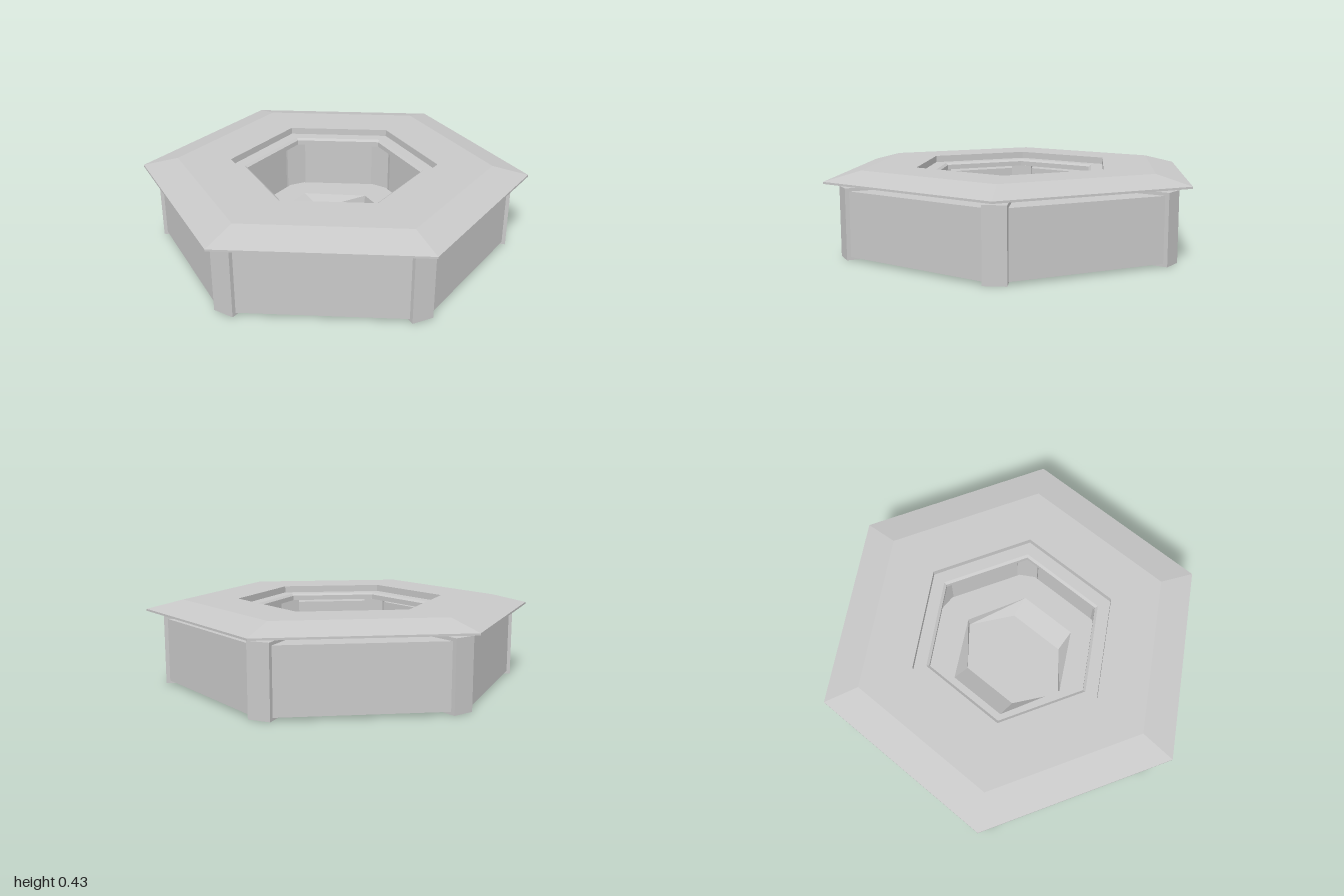
import * as THREE from 'three';

const grey = new THREE.MeshStandardMaterial({ color: 0xc8c8c8, flatShading: true });
grey.name = 'plain grey';

// Skins a stack of six-sided rings, each given as [x half width, z radius, y]
function loftHex(rings) {
  const pos = [];
  const point = ([hx, rz, y], i) => {
    const a = (i * Math.PI) / 3;
    return [(hx * Math.sin(a)) / Math.sin(Math.PI / 3), y, rz * Math.cos(a)];
  };
  for (let k = 0; k < rings.length - 1; k++) {
    for (let i = 0; i < 6; i++) {
      const a = point(rings[k], i), b = point(rings[k], i + 1);
      const c = point(rings[k + 1], i + 1), d = point(rings[k + 1], i);
      pos.push(...a, ...b, ...c, ...a, ...c, ...d);
    }
  }
  const g = new THREE.BufferGeometry();
  g.setAttribute('position', new THREE.Float32BufferAttribute(pos, 3));
  g.computeVertexNormals();
  return g;
}

export function createModel() {
  const model = new THREE.Group();
  const add = (geometry, name, angle = 0) => {
    const mesh = new THREE.Mesh(geometry, grey);
    mesh.name = name;
    mesh.rotation.y = angle;
    model.add(mesh);
  };
  const ring = (r, y) => [r * Math.sin(Math.PI / 3), r, y];

  // Bevelled hexagonal top with a stepped opening and a hanging lip
  add(loftHex([
    ring(0.45, 0.355), ring(0.465, 0.355), ring(0.465, 0.37), ring(1, 0.37),
    ring(1, 0.38), ring(0.815, 0.425), ring(0.535, 0.425), ring(0.535, 0.39),
    ring(0.465, 0.39), ring(0.45, 0.38), ring(0.45, 0.355),
  ]), 'counterTop');

  // Side block between two dividers, drawn in plan and extruded upwards
  const inner = 0.453, outer = 0.8;
  const halfWidth = (d) => d * Math.tan(Math.PI / 6) - 0.0665;
  const plan = new THREE.Shape([
    new THREE.Vector2(-halfWidth(inner), -inner),
    new THREE.Vector2(-halfWidth(outer), -outer),
    new THREE.Vector2(halfWidth(outer), -outer),
    new THREE.Vector2(halfWidth(inner), -inner),
  ]);
  const block = new THREE.ExtrudeGeometry(plan, { depth: 0.32, bevelEnabled: false });
  block.rotateX(-Math.PI / 2);
  block.translate(0, 0.015, 0);

  // Radial divider running from the well to the outer corner
  const divider = new THREE.BoxGeometry(0.11, 0.35, 0.435);
  divider.translate(0, 0.175, 0.6925);

  for (let i = 0; i < 6; i++) {
    add(divider, 'cornerDivider', (i * Math.PI) / 3);
    add(block, 'sideBlock', ((i + 0.5) * Math.PI) / 3);
  }

  // Floor of the well with a shallow basin sunk into it
  add(loftHex([
    [0, 0, 0.025], ring(0.5, 0.025), ring(0.5, 0.1),
    [0.3, 0.32, 0.1], [0.2, 0.315, 0.035], [0, 0, 0.035],
  ]), 'wellFloor');

  return model;
}
